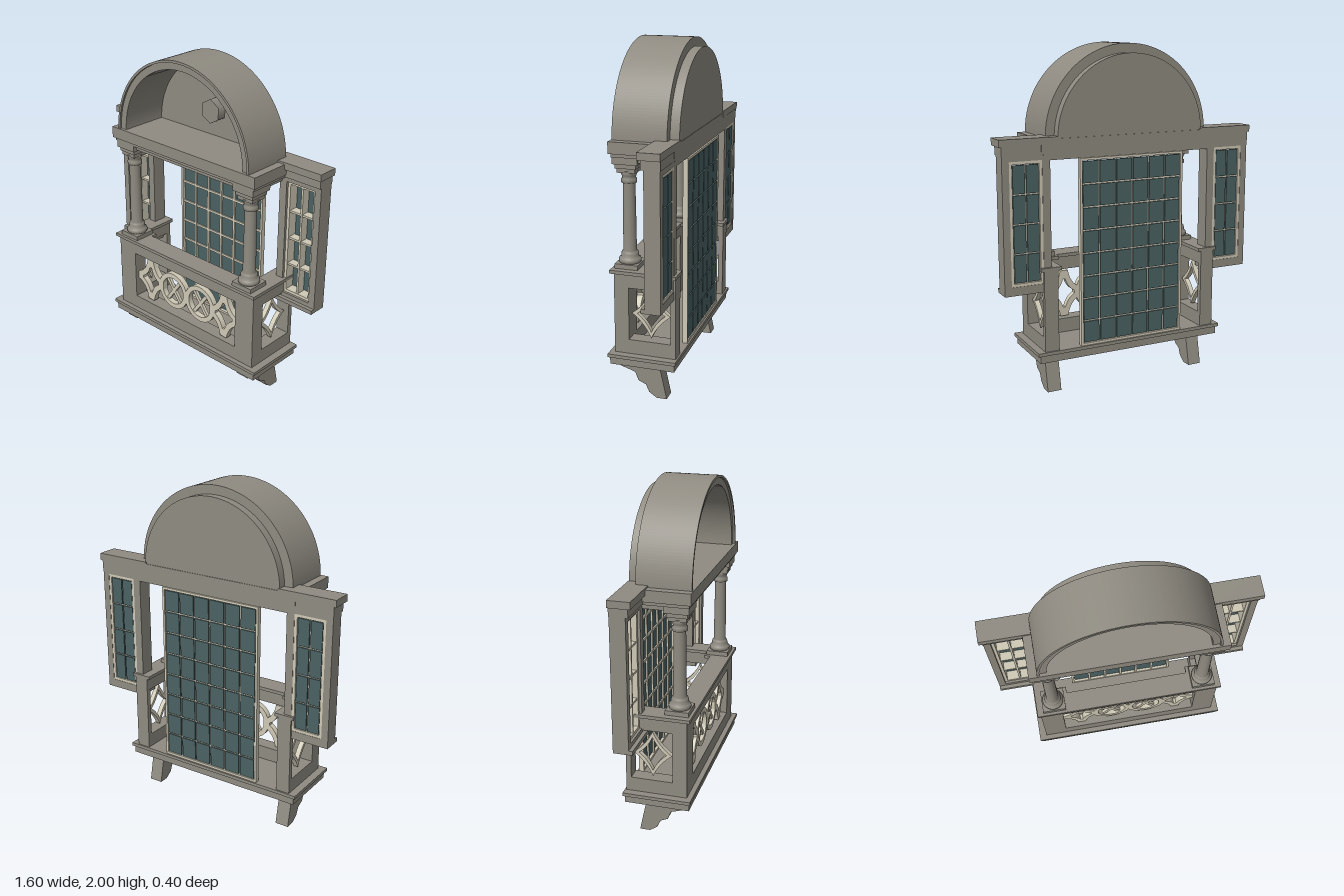
import * as THREE from 'three';

const mat = (name, color) => Object.assign(new THREE.MeshStandardMaterial({ color }), { name });

export function createModel() {
  const root = new THREE.Group();
  root.name = 'balconyBay';
  const stone = mat('stone', 0x8f8b81);
  const cream = mat('cream trim', 0xcfc9b6);
  const glass = mat('window glass', 0x4b6263);

  const add = (parent, name, geo, m) => {
    const mesh = new THREE.Mesh(geo, m);
    mesh.name = name;
    parent.add(mesh);
    return mesh;
  };
  const group = (name, parent = root) => {
    const g = new THREE.Group();
    g.name = name;
    parent.add(g);
    return g;
  };
  // Box given by its limits on each axis
  const box = (parent, name, m, x0, x1, y0, y1, z0, z1) => {
    const geo = new THREE.BoxGeometry(x1 - x0, y1 - y0, z1 - z0);
    geo.translate((x0 + x1) / 2, (y0 + y1) / 2, (z0 + z1) / 2);
    return add(parent, name, geo, m);
  };
  const poly = (pts) => new THREE.Shape(pts.map(([x, y]) => new THREE.Vector2(x, y)));
  const rect = (x0, x1, y0, y1) => poly([[x0, y0], [x1, y0], [x1, y1], [x0, y1]]);
  // Shape in the xy plane, with holes, extruded from z0 to z1
  const plate = (shape, holes, z0, z1, curveSegments = 32) => {
    shape.holes.push(...holes);
    const geo = new THREE.ExtrudeGeometry(shape, { depth: z1 - z0, bevelEnabled: false, curveSegments });
    return geo.translate(0, 0, z0);
  };
  const halfDisc = (r) => {
    const s = new THREE.Shape();
    s.absarc(0, 0, r, 0, Math.PI, false);
    s.closePath();
    return s;
  };
  const circle = (r) => new THREE.Shape().absarc(0, 0, r, 0, Math.PI * 2, false);
  // Four-pointed star with concave sides; t is the half width of the blunt tips
  const star = (w, h, t = 0) => {
    const s = new THREE.Shape();
    const c = 0.36;
    s.moveTo(w, t);
    s.quadraticCurveTo(w * c, h * c, t, h);
    s.lineTo(-t, h);
    s.quadraticCurveTo(-w * c, h * c, -w, t);
    s.lineTo(-w, -t);
    s.quadraticCurveTo(-w * c, -h * c, -t, -h);
    s.lineTo(t, -h);
    s.quadraticCurveTo(w * c, -h * c, w, -t);
    s.closePath();
    return s;
  };

  // Paned window: cream frame and bars, separate panes showing at the back
  const paneWindow = (parent, x0, x1, y0, y1, cols, rows, f, b, z0, z1) => {
    const g = group('panedWindow', parent);
    add(g, 'windowFrame', plate(rect(x0, x1, y0, y1), [rect(x0 + f, x1 - f, y0 + f, y1 - f)], z0, z1), cream);
    const ax = x0 + f, ay = y0 + f;
    const w = (x1 - x0 - 2 * f) / cols, h = (y1 - y0 - 2 * f) / rows;
    for (let i = 1; i < cols; i++)
      box(g, 'verticalBar', cream, ax + i * w - b, ax + i * w + b, ay, y1 - f, z0 + 0.012, z1 - 0.004);
    for (let j = 1; j < rows; j++)
      box(g, 'crossBar', cream, ax, x1 - f, ay + j * h - b, ay + j * h + b, z0 + 0.012, z1 - 0.006);
    for (let i = 0; i < cols; i++)
      for (let j = 0; j < rows; j++)
        box(g, 'pane', glass, ax + i * w + b * 0.7, ax + (i + 1) * w - b * 0.7,
          ay + j * h + b * 0.7, ay + (j + 1) * h - b * 0.7, z0 + 0.003, z0 + 0.016);
  };

  // Floor slab
  const floor = group('floorSlab');
  box(floor, 'lowerSlab', stone, -0.585, 0.585, 0.21, 0.255, -0.19, 0.19);
  box(floor, 'upperSlab', stone, -0.6, 0.6, 0.255, 0.275, -0.2, 0.2);

  // Front parapet and rail
  add(root, 'frontParapet', plate(rect(-0.555, 0.555, 0.275, 0.75), [rect(-0.42, 0.42, 0.36, 0.67)], 0.085, 0.17), stone);
  box(root, 'frontRail', stone, -0.572, 0.572, 0.75, 0.77, 0.065, 0.19);

  // Pierced ornament in the front opening
  const tracery = group('frontTracery');
  tracery.position.set(0, 0.51, 0);
  for (const s of [-1, 1]) {
    const ring = group('ringMotif', tracery);
    ring.position.x = s * 0.112;
    add(ring, 'ring', plate(circle(0.119), [circle(0.088)], 0.11, 0.145), cream);
    for (const a of [-1, 1]) {
      const blade = box(ring, 'crossBlade', cream, -0.011, 0.011, -0.095, 0.095, 0.118, 0.137);
      blade.rotation.z = a * 0.62;
    }
    const end = add(tracery, 'endStar', plate(star(0.112, 0.142, 0.025), [star(0.068, 0.088, 0.008)], 0.11, 0.145), cream);
    end.position.x = s * 0.308;
  }

  // Parts mirrored to both sides
  const profile = [[-0.16, 0.21], [-0.16, 0.175], [-0.065, 0.145], [-0.045, 0.095], [0, 0.075],
    [0.02, 0.03], [0.065, 0], [0.125, 0], [0.08, 0.21]];
  const columnProfile = [[0, 0.795], [0.062, 0.795], [0.064, 0.81], [0.06, 0.822], [0.05, 0.828], [0.05, 0.845],
    [0.046, 0.858], [0.038, 0.866], [0.037, 1.0], [0.034, 1.25], [0.044, 1.255], [0.044, 1.275], [0.037, 1.28],
    [0.04, 1.295], [0.054, 1.325], [0, 1.325]].map(([r, y]) => new THREE.Vector2(r, y));
  for (const s of [-1, 1]) {
    const side = group(s > 0 ? 'leftSide' : 'rightSide');
    const mx = (name, m, a, b, ...rest) => box(side, name, m, Math.min(s * a, s * b), Math.max(s * a, s * b), ...rest);

    // Stepped bracket beneath the floor
    const bracket = add(side, 'bracket', plate(poly(profile), [], -0.042, 0.042), stone);
    bracket.rotation.y = Math.PI / 2;
    bracket.position.x = s * 0.476;

    // Side parapet
    mx('sideParapetBase', stone, 0.47, 0.555, 0.275, 0.36, -0.19, 0.085);
    mx('sideParapetTop', stone, 0.47, 0.555, 0.67, 0.75, -0.19, 0.085);
    mx('sideParapetPost', stone, 0.47, 0.555, 0.36, 0.67, -0.19, -0.16);
    mx('sideRail', stone, 0.45, 0.572, 0.75, 0.77, -0.195, 0.065);
    mx('cornerRail', stone, 0.375, 0.57, 0.75, 0.769, 0.025, 0.07);
    const sideStar = add(side, 'sideStar', plate(star(0.114, 0.14), [star(0.082, 0.105)], -0.015, 0.015), cream);
    sideStar.rotation.y = Math.PI / 2;
    sideStar.position.set(s * 0.512, 0.512, -0.038);

    // Column with square plinth and stepped capital
    const column = group('column', side);
    column.position.set(s * 0.464, 0, 0.105);
    add(column, 'columnShaft', new THREE.LatheGeometry(columnProfile, 24), stone);
    box(column, 'plinth', stone, -0.07, 0.07, 0.77, 0.797, -0.068, 0.068);
    [[0.052, 1.315, 1.34], [0.06, 1.34, 1.365], [0.072, 1.365, 1.41]].forEach(([h, a, b]) =>
      box(column, 'capitalStep', stone, -h, h, a, b, -h, h));

    // Side wing with its window
    const hole = s > 0 ? rect(0.552, 0.744, 0.68, 1.38) : rect(-0.744, -0.552, 0.68, 1.38);
    const wall = s > 0 ? rect(0.505, 0.785, 0.63, 1.42) : rect(-0.785, -0.505, 0.63, 1.42);
    add(side, 'wingWall', plate(wall, [hole], -0.18, -0.09), stone);
    mx('wingSill', stone, 0.505, 0.785, 0.63, 0.655, -0.1, -0.067);
    mx('wingCorniceLower', stone, 0.5, 0.787, 1.41, 1.462, -0.182, -0.075);
    mx('wingCorniceUpper', stone, 0.5, 0.8, 1.462, 1.503, -0.185, -0.058);
    mx('wingCorniceReturn', stone, 0.45, 0.5, 1.462, 1.503, -0.185, -0.13);
    const [wx0, wx1] = s > 0 ? [0.552, 0.744] : [-0.744, -0.552];
    paneWindow(side, wx0, wx1, 0.68, 1.38, 2, 4, 0.017, 0.006, -0.178, -0.105);
  }

  // Tall back window
  paneWindow(root, -0.33, 0.33, 0.275, 1.375, 6, 8, 0.014, 0.007, -0.19, -0.16);

  // Entablature
  const entablature = group('entablature');
  box(entablature, 'beam', stone, -0.52, 0.52, 1.375, 1.41, -0.18, 0.155);
  box(entablature, 'lowerMoulding', stone, -0.545, 0.545, 1.405, 1.425, -0.182, 0.18);
  box(entablature, 'upperMoulding', stone, -0.557, 0.557, 1.425, 1.492, -0.184, 0.192);

  // Arched hood, open at the front
  const hood = group('archedHood');
  hood.position.y = 1.49;
  const arch = (R, r) => {
    const s = new THREE.Shape();
    s.absarc(0, 0, R, 0, Math.PI, false);
    s.lineTo(-r, 0);
    s.absarc(0, 0, r, Math.PI, 0, true);
    s.closePath();
    return s;
  };
  add(hood, 'vault', plate(arch(0.51, 0.455), [], -0.127, 0.173, 48), stone);
  add(hood, 'vaultRim', plate(arch(0.51, 0.496), [], 0.173, 0.185, 48), stone);
  add(hood, 'backDrum', plate(halfDisc(0.457), [], -0.18, -0.12, 48), stone);

  // Six-sided boss on the hood's back wall
  const boss = add(root, 'hexagonBoss', new THREE.CylinderGeometry(0.073, 0.073, 0.06, 6), stone);
  boss.rotation.x = Math.PI / 2;
  boss.position.set(0, 1.655, -0.095);

  return root;
}
